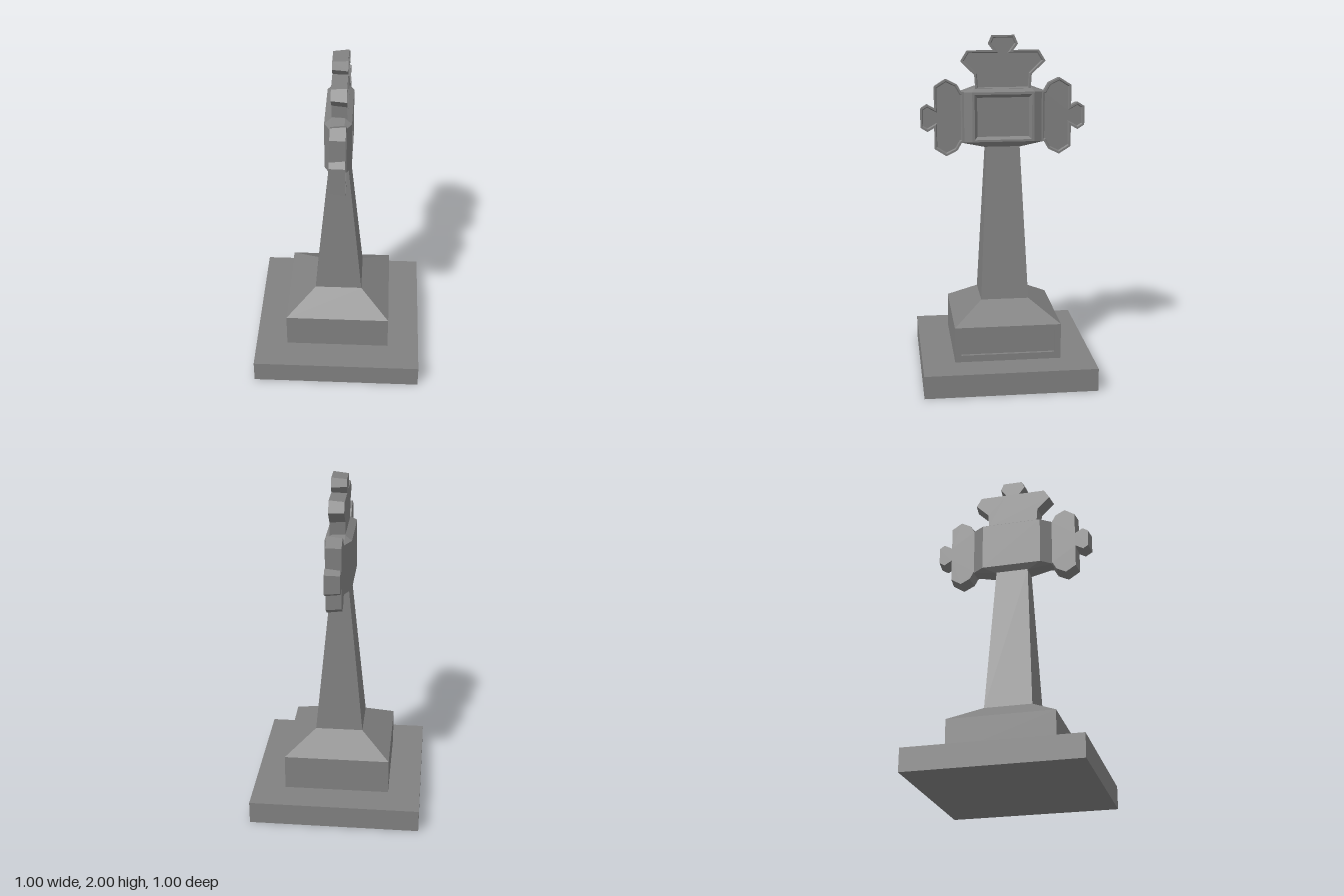
import * as THREE from 'three';

const stone = new THREE.MeshStandardMaterial({ color: 0x808080 });
stone.name = 'grey stone';

function add(group, name, geometry) {
  const mesh = new THREE.Mesh(geometry, stone);
  mesh.name = name;
  group.add(mesh);
  return mesh;
}

// Faceted solid skinned through loops of [x, y, z], ordered anticlockwise seen from +x
function loft(loops) {
  const pos = [];
  const tri = (a, b, c) => pos.push(...a, ...b, ...c);
  for (let k = 0; k < loops.length - 1; k++) {
    const a = loops[k], b = loops[k + 1];
    for (let i = 0; i < a.length; i++) {
      const j = (i + 1) % a.length;
      tri(a[i], a[j], b[j]);
      tri(a[i], b[j], b[i]);
    }
  }
  const cap = (loop, sign) => {
    const flat = loop.map((p) => new THREE.Vector2(p[1], p[2]));
    for (const [i, j, k] of THREE.ShapeUtils.triangulateShape(flat, [])) {
      const u = flat[j].clone().sub(flat[i]), v = flat[k].clone().sub(flat[i]);
      if (u.cross(v) * sign > 0) tri(loop[i], loop[j], loop[k]);
      else tri(loop[i], loop[k], loop[j]);
    }
  };
  cap(loops[0], -1);
  cap(loops[loops.length - 1], 1);
  // drop collapsed triangles
  const out = [];
  for (let i = 0; i < pos.length; i += 9) {
    const [a, b, c] = [0, 3, 6].map((o) => new THREE.Vector3(pos[i + o], pos[i + o + 1], pos[i + o + 2]));
    if (new THREE.Triangle(a, b, c).getArea() > 1e-8) out.push(...pos.slice(i, i + 9));
  }
  const g = new THREE.BufferGeometry();
  g.setAttribute('position', new THREE.Float32BufferAttribute(out, 3));
  g.computeVertexNormals();
  return g;
}

// Rectangle loop, centred on z = 0
const rect = (x, hz, y0, y1) => [[x, y0, -hz], [x, y1, -hz], [x, y1, hz], [x, y0, hz]];

// Moves every edge of an anticlockwise (y, z) outline inwards by d
function inset(pts, d) {
  return pts.map((p, i) => {
    const a = pts[(i + pts.length - 1) % pts.length], b = pts[(i + 1) % pts.length];
    const normal = (s, e) => new THREE.Vector2(-(e.y - s.y), e.x - s.x).normalize();
    const n1 = normal(a, p), n2 = normal(p, b);
    return n1.clone().add(n2).multiplyScalar(d / (1 + n1.dot(n2))).add(p);
  });
}

// Carved plate: narrower at the back, rimmed and sunken on the +x face
function carvedPlate(zy) {
  let pts = zy.map(([z, y]) => new THREE.Vector2(y, z));
  if (THREE.ShapeUtils.area(pts) < 0) pts = pts.reverse();
  const at = (x, d) => inset(pts, d).map((p) => [x, p.x, p.y]);
  return loft([at(-0.037, 0.009), at(0.05, 0), at(0.05, 0.011), at(0.038, 0.017)]);
}

// Box whose top is resized to the half widths tx, tz
function taper(bx, bz, tx, tz, y0, y1) {
  const g = new THREE.BoxGeometry(2, y1 - y0, 2).toNonIndexed();
  g.translate(0, (y0 + y1) / 2, 0);
  const p = g.attributes.position;
  for (let i = 0; i < p.count; i++) {
    const top = p.getY(i) > (y0 + y1) / 2;
    p.setX(i, p.getX(i) * (top ? tx : bx));
    p.setZ(i, p.getZ(i) * (top ? tz : bz));
  }
  g.computeVertexNormals();
  return g;
}

export function createModel() {
  const model = new THREE.Group();
  model.name = 'stoneCross';

  // Stepped base with a sunken panel on the +x side
  add(model, 'baseSlab', taper(0.5, 0.5, 0.5, 0.5, 0, 0.135));
  add(model, 'plinth', loft([
    rect(-0.31, 0.31, 0.135, 0.345), rect(0.31, 0.31, 0.135, 0.345),
    rect(0.31, 0.273, 0.175, 0.312), rect(0.292, 0.273, 0.175, 0.312),
  ]));
  add(model, 'plinthSlope', taper(0.31, 0.31, 0.14, 0.14, 0.345, 0.456));
  add(model, 'shaft', taper(0.14, 0.14, 0.052, 0.097, 0.456, 1.36));

  // Central block: chamfered towards arms, top and shaft
  const face = (x, hz, y0, y1) => rect(x, hz, y0, y1).flatMap((p) => [p, p]);
  const waist = (s) => [
    [s * 0.05, 1.355, -0.097], [s * 0.037, 1.383, -0.245],
    [s * 0.037, 1.673, -0.245], [s * 0.037, 1.703, -0.162],
    [s * 0.037, 1.703, 0.162], [s * 0.037, 1.673, 0.245],
    [s * 0.037, 1.383, 0.245], [s * 0.05, 1.355, 0.097],
  ];
  add(model, 'centreBlock', loft([
    face(-0.076, 0.18, 1.39, 1.678), waist(-1), waist(1),
    face(0.076, 0.18, 1.39, 1.678), face(0.076, 0.166, 1.402, 1.664),
    face(0.058, 0.15, 1.418, 1.645),
  ]));

  // Side arms ending in small knobs
  const armHalf = [
    [0.477, 0.055], [0.437, 0.08], [0.398, 0.058], [0.398, 0.18],
    [0.329, 0.224], [0.265, 0.192], [0.24, 0.148], [0.225, 0.146],
  ];
  for (const s of [1, -1]) {
    const outline = [
      ...armHalf.map(([z, y]) => [s * z, 1.531 + y]),
      ...armHalf.map(([z, y]) => [s * z, 1.531 - y]).reverse(),
    ];
    add(model, s > 0 ? 'frontArm' : 'backArm', carvedPlate(outline));
  }

  // Top arm with its knob
  const topHalf = [
    [0.16, 1.685], [0.166, 1.775], [0.245, 1.852], [0.206, 1.915],
    [0.06, 1.915], [0.086, 1.95], [0.064, 2],
  ];
  add(model, 'topArm', carvedPlate([
    ...topHalf, ...topHalf.map(([z, y]) => [-z, y]).reverse(),
  ]));

  return model;
}
